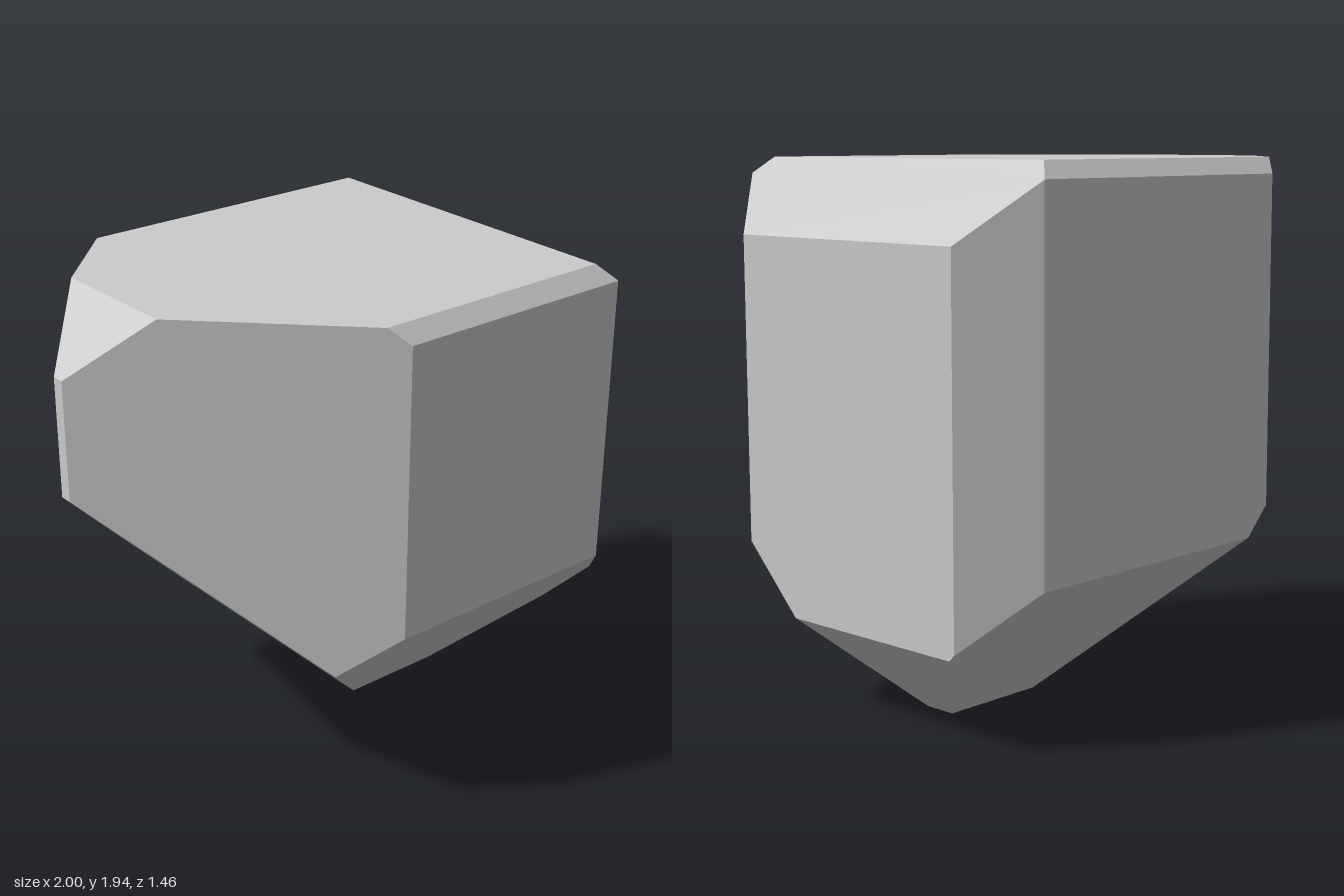
import * as THREE from 'three';
import { ConvexGeometry } from 'three/addons/geometries/ConvexGeometry.js';

// Cutting planes [nx, ny, nz, limit]: the solid is where nx*x + ny*y + nz*z <= limit
const CUTS = [
  // box sides
  [1, 0, 0, 1], [-1, 0, 0, 1],
  [0, 1, 0, 1.937], [0, -1, 0, 0],
  [0, 0, 1, 0.73], [0, 0, -1, 0.73],
  // bevels along z
  [1, 1, 0, 2.67], [-1, 1, 0, 2.705], [1, -1, 0, 0.672], [-1, -1, 0, -0.257],
  // bevels along x
  [0, 1, 1, 2.608], [0, 1, -1, 2.608], [0, -1, 1, -0.05], [0, -1, -1, 0.172],
  // upright bevels along y
  [1, 0, 1, 1.52], [1, 0, -1, 1.523], [-1, 0, 1, 0.91], [-1, 0, -1, 1.138],
];

// Corners are the points where three planes meet inside all the others
function corners(cuts) {
  const points = [];
  const normals = cuts.map(([x, y, z]) => new THREE.Vector3(x, y, z));
  const inside = (p) => cuts.every((c, i) => normals[i].dot(p) <= c[3] + 1e-6);
  for (let i = 0; i < cuts.length; i++) {
    for (let j = i + 1; j < cuts.length; j++) {
      for (let k = j + 1; k < cuts.length; k++) {
        const [a, b, c] = [normals[i], normals[j], normals[k]];
        const bc = b.clone().cross(c);
        const det = a.dot(bc);
        if (Math.abs(det) < 1e-6) continue;
        const p = bc.multiplyScalar(cuts[i][3])
          .addScaledVector(c.clone().cross(a), cuts[j][3])
          .addScaledVector(a.clone().cross(b), cuts[k][3])
          .divideScalar(det);
        if (inside(p) && !points.some((q) => q.distanceTo(p) < 1e-4)) points.push(p);
      }
    }
  }
  return points;
}

export function createModel() {
  const group = new THREE.Group();
  group.name = 'bevelledBlock';

  // Single faceted solid
  const block = new THREE.Mesh(
    new ConvexGeometry(corners(CUTS)),
    new THREE.MeshStandardMaterial({ color: 0xcccccc, flatShading: true }),
  );
  block.name = 'block';
  group.add(block);
  return group;
}
